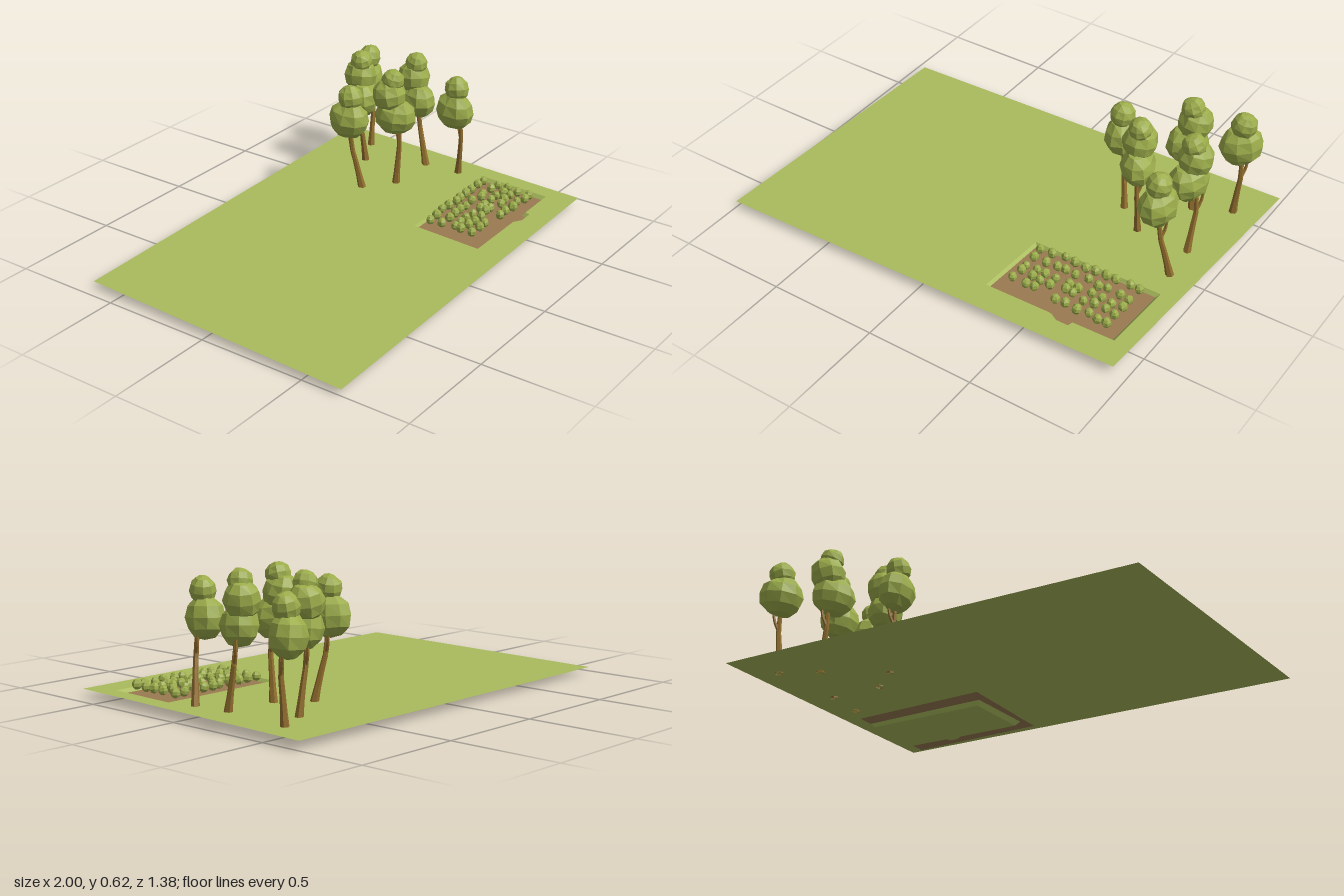
import * as THREE from 'three';

const mat = (color) => new THREE.MeshStandardMaterial({ color, flatShading: true, side: THREE.DoubleSide });
const grass = mat(0xa9bb5c), leaf = mat(0x9bac4a), bark = mat(0x94702f), soil = mat(0x9a7a52);

let seed = 7;
const rand = () => (seed = (seed * 16807) % 2147483647) / 2147483647;

function mesh(name, geometry, material) {
  const m = new THREE.Mesh(geometry, material);
  m.name = name;
  return m;
}

// The ground rises slightly towards +x
const groundY = (x) => 0.034 + 0.004 * x;

// Faceted clump: a coarse sphere with gently uneven vertices
function clumpGeometry(sides, rings) {
  const g = new THREE.SphereGeometry(1, sides, rings);
  const p = g.attributes.position, v = new THREE.Vector3();
  for (let i = 0; i < p.count; i++) {
    v.fromBufferAttribute(p, i);
    const k = 1 + 0.05 * Math.sin(4 * v.x + 3 * v.y) * Math.cos(5 * v.z - 2 * v.y);
    p.setXYZ(i, v.x * k, v.y * k, v.z * k);
  }
  return g;
}
const crownGeo = clumpGeometry(9, 6), bushGeo = clumpGeometry(6, 5);

function clump(name, geo, pos, size, yaw, tilt) {
  const m = mesh(name, geo, leaf);
  m.position.set(...pos);
  m.scale.set(...size);
  m.rotation.set(tilt, yaw, tilt * 0.6, 'YXZ');
  return m;
}

// Tapered branch through a few points
function branch(name, points, r0, r1) {
  const segments = 5, sides = 6;
  const curve = new THREE.CatmullRomCurve3(points.map((p) => new THREE.Vector3(...p)));
  const g = new THREE.TubeGeometry(curve, segments, r0, sides);
  const p = g.attributes.position, v = new THREE.Vector3();
  for (let i = 0; i < p.count; i++) {
    const t = Math.floor(i / (sides + 1)) / segments;
    const c = curve.getPointAt(t);
    v.fromBufferAttribute(p, i).sub(c).multiplyScalar(1 + (r1 / r0 - 1) * Math.sqrt(t)).add(c);
    p.setXYZ(i, v.x, v.y, v.z);
  }
  return mesh(name, g, bark);
}

// x, z: crown centre; bx, bz: foot of trunk; kx, kz: top of trunk
function tree({ x, z, bx, bz, kx, kz, yaw, tall }) {
  const t = new THREE.Group();
  t.name = 'tree';
  const y0 = groundY(bx);
  const mx = bx + (kx - bx) * 0.45, mz = bz + (kz - bz) * 0.5;
  t.add(branch('trunk', [[bx, y0 - 0.005, bz], [mx, 0.14, mz], [kx, 0.25, kz], [kx + (x - kx) * 0.4, 0.36, kz]], 0.019, 0.009));
  t.add(branch('sideBranch', [[kx, 0.24, kz], [kx + 0.01, 0.28, kz - 0.018], [kx + 0.015, 0.34, kz - 0.025]], 0.009, 0.006));
  const dx = Math.sin(yaw) * 0.015, dz = Math.cos(yaw) * 0.015;
  if (tall) {
    t.add(clump('lowerCrown', crownGeo, [x + dx, 0.385, z + dz], [0.077, 0.088, 0.1], yaw, 0.12));
    t.add(clump('middleCrown', crownGeo, [x - dx, 0.49, z - dz], [0.077, 0.083, 0.08], yaw, -0.2));
    t.add(clump('topCrown', crownGeo, [x, 0.563, z], [0.052, 0.052, 0.055], yaw, 0.3));
  } else {
    t.add(clump('lowerCrown', crownGeo, [x, 0.39, z], [0.077, 0.092, 0.1], yaw, 0.1));
    t.add(clump('topCrown', crownGeo, [x - dx * 0.6, 0.5, z + dz * 0.5], [0.055, 0.06, 0.06], yaw, -0.2));
  }
  return t;
}

// Outline of the planting bed with its small bulge at the front (x, z)
const rim = [[0.265, 0.175], [0.88, 0.165], [0.865, 0.51], [0.67, 0.515], [0.662, 0.54], [0.592, 0.54], [0.555, 0.517], [0.245, 0.522]];
const foot = [[0.292, 0.197], [0.85, 0.19], [0.838, 0.486], [0.65, 0.49], [0.64, 0.512], [0.605, 0.512], [0.572, 0.492], [0.275, 0.495]];
const toShape = (pts) => new THREE.Shape(pts.map(([x, z]) => new THREE.Vector2(x, -z)));

function flatSheet(shape, heightAt) {
  const g = new THREE.ShapeGeometry(shape);
  g.rotateX(-Math.PI / 2);
  const p = g.attributes.position;
  for (let i = 0; i < p.count; i++) p.setY(i, heightAt(p.getX(i)));
  g.computeVertexNormals();
  return g;
}

function createGround() {
  const group = new THREE.Group();
  group.name = 'ground';
  const lawn = toShape([[-1, 0.69], [0.94, 0.64], [1, -0.69], [-0.945, -0.645]]);
  lawn.holes.push(toShape(rim));
  group.add(mesh('lawn', flatSheet(lawn, groundY), grass));

  // Sunken bed: sloping walls and a floor
  const floorY = (x) => Math.max(0, 0.01 * (x - 0.275));
  group.add(mesh('bedFloor', flatSheet(toShape(foot), floorY), grass));
  const pos = [];
  rim.forEach(([ax, az], i) => {
    const j = (i + 1) % rim.length;
    const [bx, bz] = rim[j], [cx, cz] = foot[i], [dx, dz] = foot[j];
    const a = [ax, groundY(ax), az], b = [bx, groundY(bx), bz];
    const c = [cx, floorY(cx), cz], d = [dx, floorY(dx), dz];
    pos.push(...a, ...c, ...b, ...b, ...c, ...d);
  });
  const walls = new THREE.BufferGeometry();
  walls.setAttribute('position', new THREE.Float32BufferAttribute(pos, 3));
  walls.computeVertexNormals();
  group.add(mesh('bedWalls', walls, grass));

  // Soil sheet, reaching out under the lawn
  const sheet = toShape([[0.23, 0.59], [0.86, 0.59], [0.865, 0.1], [0.235, 0.1]]);
  group.add(mesh('soil', flatSheet(sheet, () => 0.021), soil));
  return group;
}

// Rows of small bushes
function createBushes() {
  const group = new THREE.Group();
  group.name = 'bushes';
  [0.215, 0.28, 0.34, 0.388, 0.45].forEach((z, row) => {
    for (let i = 0; i < 10; i++) {
      const jx = (rand() - 0.5) * 0.018, jz = (rand() - 0.5) * 0.022, s = 0.019 + rand() * 0.003;
      if (row === 4 && i === 3) continue;
      group.add(clump('bush', bushGeo, [0.33 + i * 0.0525 + jx, 0.057 + rand() * 0.005, z + jz],
        [s, s * 1.12, s * 1.05], rand() * 6.28, (rand() - 0.5) * 0.6));
    }
  });
  return group;
}

export function createModel() {
  const model = new THREE.Group();
  model.name = 'gardenPlot';
  model.add(createGround(), createBushes());
  const trees = [
    { x: 0.405, z: -0.29, bx: 0.455, bz: -0.25, kx: 0.42, kz: -0.285, yaw: 0.1 },
    { x: 0.565, z: -0.155, bx: 0.585, bz: -0.145, kx: 0.58, kz: -0.125, yaw: 0.4, tall: true },
    { x: 0.675, z: -0.412, bx: 0.71, bz: -0.41, kx: 0.68, kz: -0.42, yaw: -0.7, tall: true },
    { x: 0.805, z: -0.185, bx: 0.835, bz: -0.14, kx: 0.84, kz: -0.185, yaw: -0.35, tall: true },
    { x: 0.868, z: -0.51, bx: 0.87, bz: -0.49, kx: 0.89, kz: -0.49, yaw: -0.9 },
    { x: 0.78, z: 0.05, bx: 0.85, bz: 0.035, kx: 0.81, kz: 0.07, yaw: -0.2 },
  ];
  trees.forEach((t) => model.add(tree(t)));
  return model;
}
